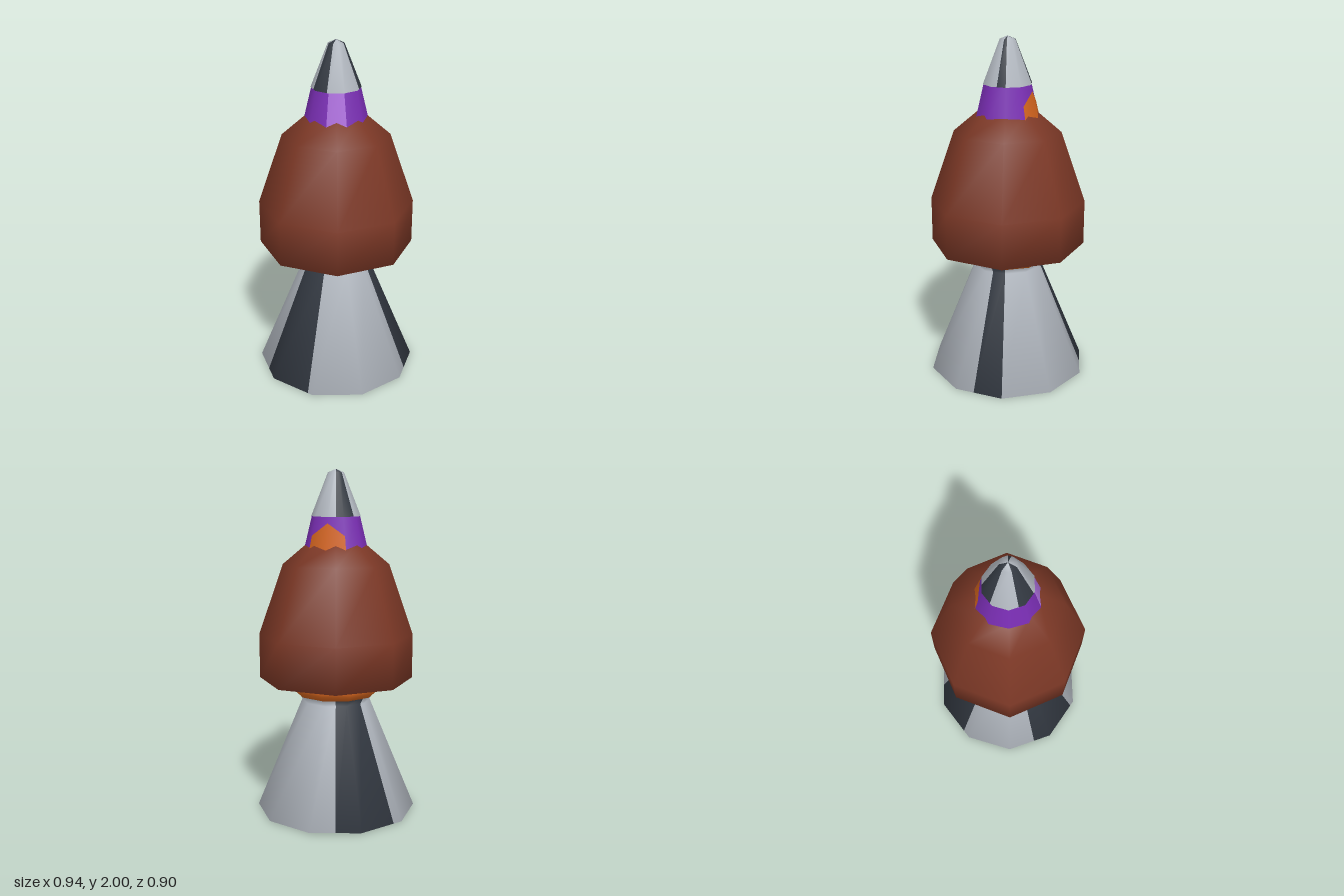
import * as THREE from 'three';

const mat = (name, color, side = THREE.FrontSide) => {
  const m = new THREE.MeshStandardMaterial({ color, side });
  m.name = name;
  return m;
};

const TAU = Math.PI * 2;
const rad = (d) => (d * Math.PI) / 180;

// Smooth-shaded n-sided turned part. profile: [radius, y] from bottom to top, or a function of degrees.
// stripes: [fromDeg, toDeg] sectors in the second material (angle from +x towards +z).
function turned(name, profile, sides, materials, stripes = [], from = 0, to = 360) {
  const rows = typeof profile === 'function' ? profile : () => profile;
  const set = new Set([from, to, ...stripes.flat()]);
  for (let i = 0; i <= sides; i++) {
    const a = (i * 360) / sides;
    if (a > from && a < to) set.add(a);
  }
  const angles = [...set].sort((a, b) => a - b);
  const pos = [], nor = [], index = [[], []];
  const count = rows(from).length;
  const step = TAU / sides;

  for (const deg of angles) {
    const t = rad(deg), p = rows(deg);
    // distance to the flat side of the polygon at this angle
    const local = ((t + 1e-9) % step) - step / 2;
    const k = Math.cos(step / 2) / Math.cos(local);
    p.forEach(([r, y], j) => {
      pos.push(Math.cos(t) * r * k, y, Math.sin(t) * r * k);
      // profile normal averaged from the neighbouring bands by area
      let nr = 0, ny = 0;
      for (const s of [j - 1, j]) {
        if (s < 0 || s >= count - 1) continue;
        const [r0, y0] = p[s], [r1, y1] = p[s + 1];
        const w = r0 + r1;
        nr += (y1 - y0) * w;
        ny += (r0 - r1) * w;
      }
      const l = Math.hypot(nr, ny) || 1;
      nor.push((Math.cos(t) * nr) / l, ny / l, (Math.sin(t) * nr) / l);
    });
  }
  for (let i = 0; i < angles.length - 1; i++) {
    const mid = (angles[i] + angles[i + 1]) / 2;
    const m = stripes.some(([a, b]) => mid > a && mid < b) ? 1 : 0;
    for (let j = 0; j < count - 1; j++) {
      const a = i * count + j, b = a + count;
      index[m].push(a, a + 1, b, a + 1, b + 1, b);
    }
  }
  const g = new THREE.BufferGeometry();
  g.setAttribute('position', new THREE.Float32BufferAttribute(pos, 3));
  g.setAttribute('normal', new THREE.Float32BufferAttribute(nor, 3));
  g.setIndex([...index[0], ...index[1]]);
  g.addGroup(0, index[0].length, 0);
  if (index[1].length) g.addGroup(index[0].length, index[1].length, 1);
  const mesh = new THREE.Mesh(g, materials);
  mesh.name = name;
  return mesh;
}

export function createModel() {
  const steel = mat('light steel', 0xb4bac2);
  const dark = mat('dark steel', 0x343a43);
  const brown = mat('rust brown', 0x7c3826);
  const purple = mat('purple', 0x7a2eb4, THREE.DoubleSide);
  const lilac = mat('lilac', 0xac6edc, THREE.DoubleSide);
  const orange = mat('orange', 0xd0621c, THREE.DoubleSide);
  const gold = mat('gold', 0xb89a48, THREE.DoubleSide);

  const model = new THREE.Group();
  model.name = 'turnedFinial';
  const darkStripes = [[0, 22], [112, 158], [223, 270]];

  model.add(
    // flared foot with a closed underside
    turned('base', [[0, 0], [0.47, 0], [0.2, 0.66], [0.225, 0.705]], 10, [steel, dark], darkStripes),
    // ring between foot and body
    turned('neckRing', [[0.2, 0.7], [0.235, 0.7], [0.262, 0.73], [0.262, 0.75]], 10, [orange, gold], [[45, 113]]),
    // eight-sided bulging body
    turned('body', [[0, 0.74], [0.22, 0.745], [0.45, 0.79], [0.45, 1.05], [0.308, 1.46], [0.16, 1.585], [0, 1.6]], 8, [brown]),
    // tapered collar with a lilac front facet
    turned('collar', [[0.185, 1.54], [0.137, 1.74]], 10, [purple, lilac], [[72, 108]]),
    // painted patch on the back of the collar
    turned('collarPatch', (deg) => {
      const top = 1.7 - 0.07 * Math.abs(deg - 288) / 36;
      return [1.54, top].map((y) => [0.188 - (y - 1.54) * 0.24, y]);
    }, 10, [orange], [], 252, 324),
    // pointed cap
    turned('tip', [[0.12, 1.735], [0.142, 1.735], [0.046, 1.98], [0, 2]], 10, [steel, dark], darkStripes),
  );
  return model;
}
